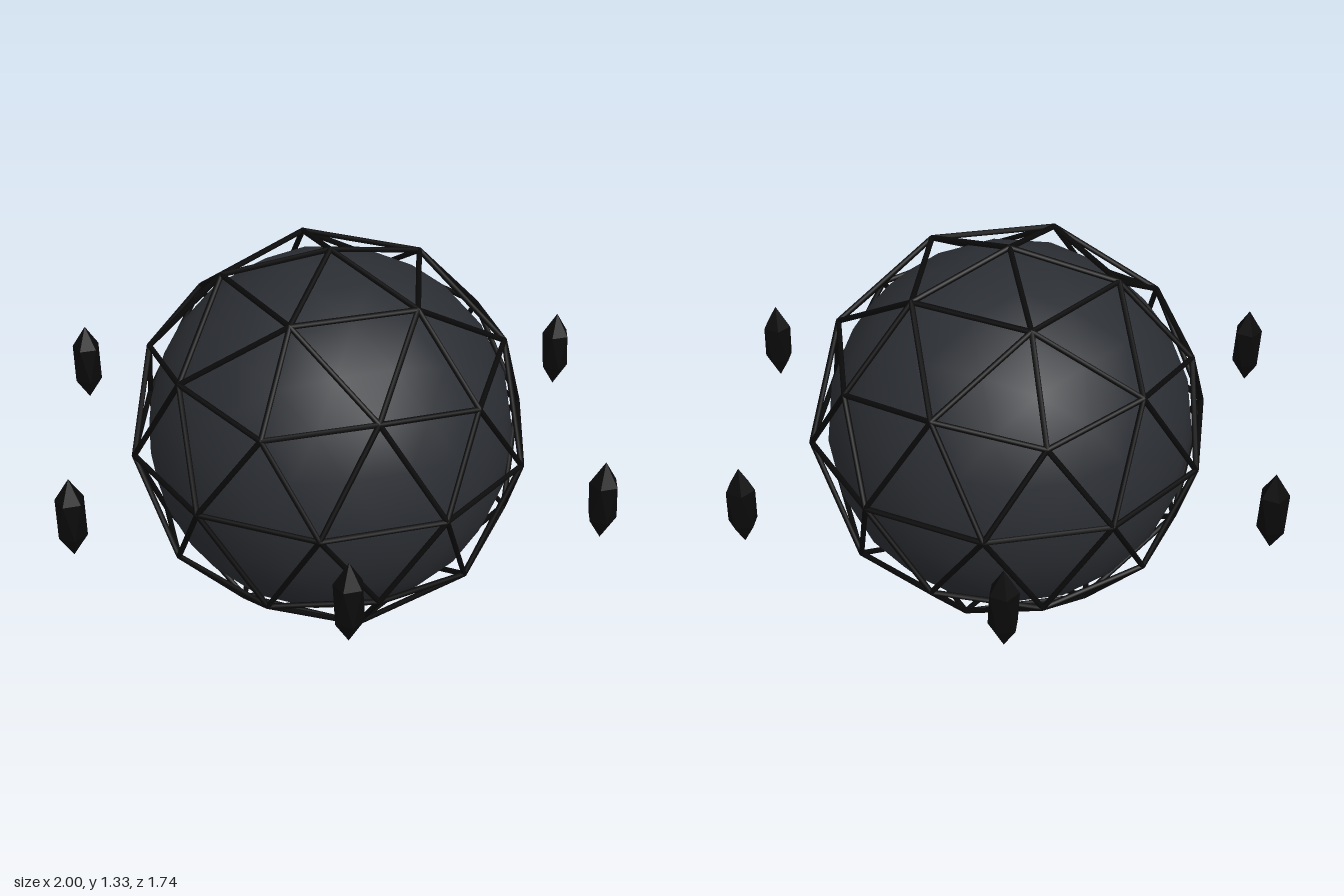
import * as THREE from 'three';
import { mergeGeometries } from 'three/addons/utils/BufferGeometryUtils.js';

const CENTRE_Y = 0.665;
const CORE_RADIUS = 0.602;
const CAGE_RADIUS = 0.656;
const BAR_RADIUS = 0.009;

// Geodesic ball turned so that a five-way corner points straight up
function geodesic(radius, detail) {
  const tilt = Math.atan(2 / (1 + Math.sqrt(5)));
  return new THREE.IcosahedronGeometry(radius, detail).rotateZ(-tilt);
}

// Thin bars along every edge of a geodesic ball, with a small joint at each corner
function cageGeometry() {
  const pos = geodesic(CAGE_RADIUS, 1).attributes.position;
  const key = (v) => v.toArray().map((n) => Math.round(n * 1000) + 0).join(',');
  const up = new THREE.Vector3(0, 1, 0);
  const corners = new Map();
  const edges = new Set();
  const pieces = [];

  for (let i = 0; i < pos.count; i += 3) {
    const tri = [0, 1, 2].map((k) => new THREE.Vector3().fromBufferAttribute(pos, i + k));
    tri.forEach((a, k) => {
      const b = tri[(k + 1) % 3];
      corners.set(key(a), a);
      const id = [key(a), key(b)].sort().join('|');
      if (edges.has(id)) return;
      edges.add(id);
      const dir = b.clone().sub(a);
      const bar = new THREE.CylinderGeometry(BAR_RADIUS, BAR_RADIUS, dir.length(), 8, 1, true);
      bar.applyQuaternion(new THREE.Quaternion().setFromUnitVectors(up, dir.normalize()));
      const mid = a.clone().add(b).multiplyScalar(0.5);
      pieces.push(bar.translate(mid.x, mid.y, mid.z).toNonIndexed());
    });
  }
  for (const c of corners.values()) {
    pieces.push(new THREE.IcosahedronGeometry(BAR_RADIUS, 1).translate(c.x, c.y, c.z));
  }
  return mergeGeometries(pieces);
}

export function createModel() {
  const model = new THREE.Group();
  model.name = 'cagedOrb';
  const coreMaterial = new THREE.MeshStandardMaterial({ color: 0x2b2e33 });
  const blackMaterial = new THREE.MeshStandardMaterial({ color: 0x0a0a0b });
  const crystalMaterial = new THREE.MeshStandardMaterial({ color: 0x0a0a0b, flatShading: true });

  // Smooth core
  const core = new THREE.Mesh(geodesic(CORE_RADIUS, 3), coreMaterial);
  core.name = 'core';
  core.position.y = CENTRE_Y;
  model.add(core);

  // Open lattice around the core
  const cage = new THREE.Mesh(cageGeometry(), blackMaterial);
  cage.name = 'cage';
  cage.position.y = CENTRE_Y;
  model.add(cage);

  // Six stretched crystals floating in a ring
  const crystals = new THREE.Group();
  crystals.name = 'crystalRing';
  const crystalGeometry = geodesic(1, 0).scale(0.053, 0.14, 0.053);
  for (let i = 0; i < 6; i++) {
    const angle = (i * Math.PI) / 3;
    const crystal = new THREE.Mesh(crystalGeometry, crystalMaterial);
    crystal.name = `crystal${i + 1}`;
    crystal.position.set(0.9525 * Math.cos(angle), CENTRE_Y, 0.9525 * Math.sin(angle));
    crystals.add(crystal);
  }
  model.add(crystals);

  return model;
}
